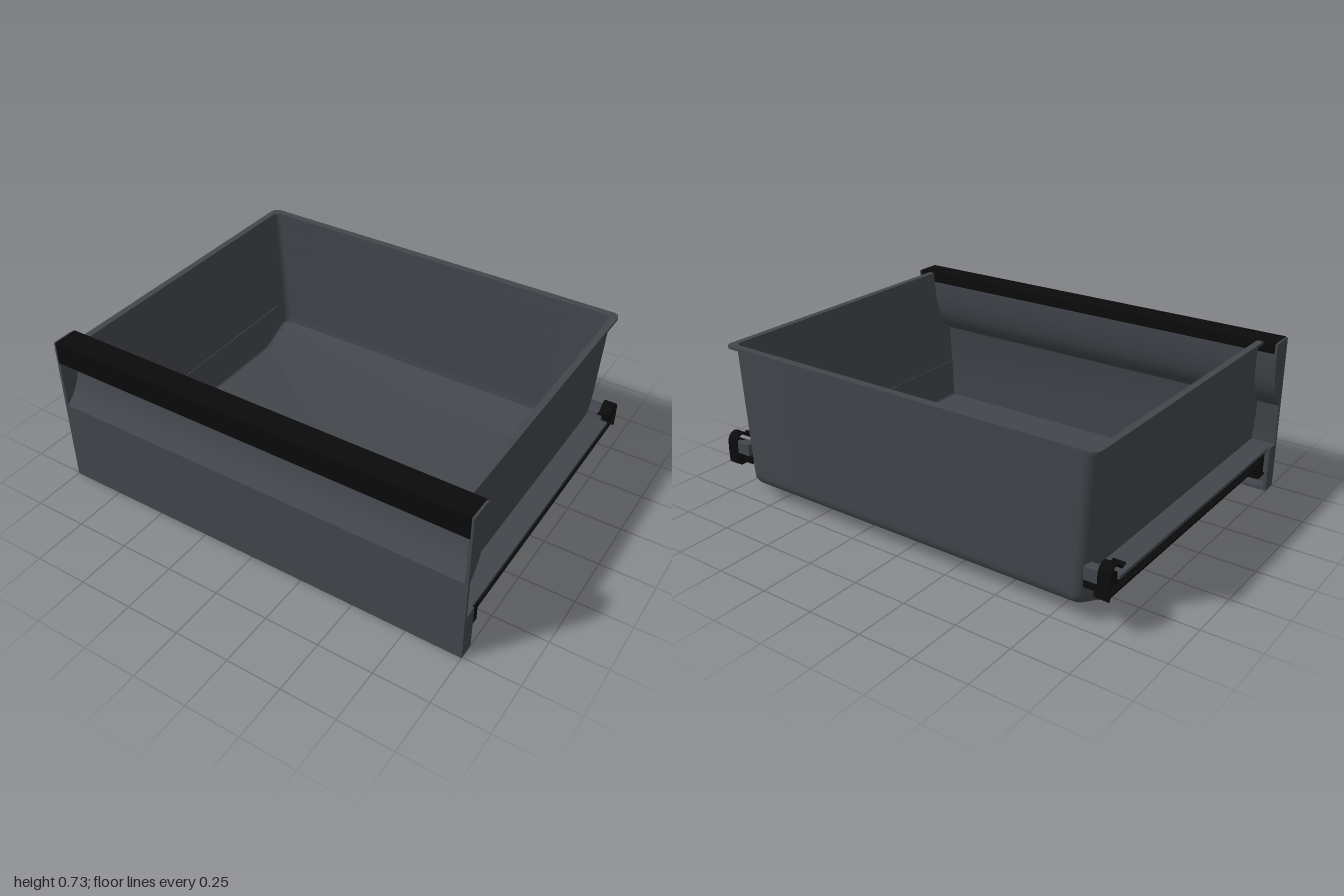
import * as THREE from 'three';
import { toCreasedNormals } from 'three/addons/utils/BufferGeometryUtils.js';

const shellMat = new THREE.MeshStandardMaterial({ color: 0x42464c, side: THREE.DoubleSide });
const blackMat = new THREE.MeshStandardMaterial({ color: 0x0b0b0b, side: THREE.DoubleSide });

const FRONT = 0.755, WALL = 0.015;

// Finger scoop, as [z, y] from the flat front up to the top edge
const scoop = new THREE.SplineCurve([
  [FRONT, 0.4], [0.712, 0.44], [0.678, 0.5], [0.658, 0.58], [0.65, 0.66], [0.65, 0.725],
].map(([z, y]) => new THREE.Vector2(z, y))).getPoints(20);

// Depth of the front panel's back face at height y
function panelBack(y) {
  if (y <= scoop[0].y) return FRONT - WALL;
  for (let i = 1; i < scoop.length; i++) {
    const a = scoop[i - 1], b = scoop[i];
    if (y <= b.y) {
      const z = THREE.MathUtils.mapLinear(y, a.y, b.y, a.x, b.x);
      return Math.min(z, FRONT) - WALL * 0.6;
    }
  }
  return 0.641;
}

function add(parent, name, geometry, material) {
  const mesh = new THREE.Mesh(geometry, material);
  mesh.name = name;
  parent.add(mesh);
  return mesh;
}

// Box given by its limits on each axis
function box(parent, name, material, [x0, x1], [y0, y1], [z0, z1]) {
  const g = new THREE.BoxGeometry(x1 - x0, y1 - y0, z1 - z0);
  g.translate((x0 + x1) / 2, (y0 + y1) / 2, (z0 + z1) / 2);
  return add(parent, name, g, material);
}

// Closed [z, y] outline extruded between two x positions
function sideProfile(parent, name, material, points, x0, x1) {
  const shape = new THREE.Shape(points.map((p) => (p.isVector2 ? p : new THREE.Vector2(...p))));
  const g = new THREE.ExtrudeGeometry(shape, { depth: x1 - x0, bevelEnabled: false });
  g.rotateY(-Math.PI / 2).translate(x1, 0, 0);
  return add(parent, name, toCreasedNormals(g, 0.5), material);
}

// U-shaped ring of the tub, open at the front, rounded at the rear corners
function tubRing([y, w, back, r]) {
  const pts = [[w, y, panelBack(y)]];
  const steps = 6;
  for (const s of [1, -1]) {
    for (let i = 0; i <= steps; i++) {
      const a = ((s > 0 ? i : steps - i) / steps) * Math.PI / 2;
      pts.push([s * (w - r + r * Math.cos(a)), y, back + r - r * Math.sin(a)]);
    }
  }
  pts.push([-w, y, panelBack(y)]);
  return pts;
}

// Rings between two heights, close enough to follow the scoop
function wallRings(from, to, n) {
  return Array.from({ length: n + 1 }, (_, i) => from.map((v, k) => v + (to[k] - v) * i / n));
}

function tubGeometry() {
  const rings = [
    [0.004, 0.862, -0.54, 0.05], [0.008, 0.872, -0.558, 0.05],
    [0.08, 0.879, -0.715, 0.05], [0.1, 0.88, -0.728, 0.05],
    ...wallRings([0.12, 0.881, -0.73, 0.05], [0.715, 0.914, -0.732, 0.05], 24),
    [0.715, 0.935, -0.755, 0.035], [0.727, 0.935, -0.755, 0.035], [0.727, 0.905, -0.72, 0.03],
    ...wallRings([0.715, 0.904, -0.72, 0.03], [0.12, 0.868, -0.716, 0.04], 24),
    [0.095, 0.867, -0.712, 0.04], [0.024, 0.864, -0.56, 0.04], [0.018, 0.858, -0.54, 0.04],
  ].map(tubRing);
  const n = rings[0].length, index = [];
  for (let i = 0; i < rings.length - 1; i++) {
    for (let j = 0; j < n - 1; j++) {
      const a = i * n + j, c = a + n;
      index.push(a, a + 1, c, a + 1, c + 1, c);
    }
  }
  // Underside and inner floor
  const last = (rings.length - 1) * n;
  for (let j = 1; j < n - 1; j++) {
    index.push(0, j + 1, j, last, last + j, last + j + 1);
  }
  const g = new THREE.BufferGeometry();
  g.setAttribute('position', new THREE.Float32BufferAttribute(rings.flat(2), 3));
  g.setIndex(index);
  return toCreasedNormals(g, 0.5);
}

// Ledge, rail, bracket and rear spring clip on the +x side
function buildSide() {
  const side = new THREE.Group();
  box(side, 'railLedge', shellMat, [0.87, 0.99], [0.2, 0.215], [-0.655, 0.7]);

  // Hollow lower corner behind the front panel
  box(side, 'cornerCheek', shellMat, [0.985, 1], [0, 0.215], [0.68, 0.75]);
  box(side, 'cornerFloor', shellMat, [0.86, 0.99], [0, 0.015], [0.68, 0.75]);
  box(side, 'cornerTop', shellMat, [0.87, 0.99], [0.2, 0.215], [0.68, 0.75]);

  // Channel rail
  const rail = new THREE.Group();
  rail.name = 'slideRail';
  box(rail, 'railWeb', blackMat, [0.93, 0.945], [0.147, 0.199], [-0.735, 0.66]);
  box(rail, 'railTopFlange', blackMat, [0.93, 0.985], [0.188, 0.199], [-0.735, 0.66]);
  box(rail, 'railBottomFlange', blackMat, [0.93, 0.985], [0.147, 0.157], [-0.735, 0.66]);
  box(rail, 'railMount', blackMat, [0.875, 0.935], [0.16, 0.19], [-0.72, 0.66]);
  side.add(rail);

  // Front bracket with gusset
  box(side, 'railBracket', blackMat, [0.89, 0.985], [0.09, 0.199], [0.615, 0.662]);
  box(side, 'bracketFoot', blackMat, [0.88, 0.985], [0.082, 0.092], [0.613, 0.68]);
  sideProfile(side, 'bracketGusset', blackMat,
    [[0.62, 0.105], [0.62, 0.15], [0.535, 0.15], [0.56, 0.13]], 0.935, 0.975);

  // Rear bump under the spring clip
  sideProfile(side, 'rearStop', shellMat,
    [[-0.655, 0.2], [-0.73, 0.2], [-0.73, 0.255], [-0.685, 0.255], [-0.668, 0.24]], 0.88, 0.955);

  // Spring clip: a bent ribbon
  const line = new THREE.SplineCurve([
    [-0.63, 0.262], [-0.655, 0.255], [-0.675, 0.275], [-0.7, 0.286],
    [-0.727, 0.273], [-0.737, 0.24], [-0.737, 0.15],
  ].map(([z, y]) => new THREE.Vector2(z, y)));
  const outer = [], inner = [];
  for (let i = 0; i <= 30; i++) {
    const p = line.getPoint(i / 30), t = line.getTangent(i / 30);
    const off = new THREE.Vector2(-t.y, t.x).multiplyScalar(0.004);
    outer.push(p.clone().add(off));
    inner.unshift(p.clone().sub(off));
  }
  sideProfile(side, 'springClip', blackMat, [...outer, ...inner], 0.945, 0.998);
  const roller = new THREE.CylinderGeometry(0.028, 0.028, 0.05, 20);
  roller.rotateZ(Math.PI / 2).translate(0.965, 0.228, -0.7);
  add(side, 'roller', toCreasedNormals(roller, 0.6), blackMat);
  return side;
}

export function createModel() {
  const model = new THREE.Group();
  model.name = 'drawer';
  add(model, 'tub', tubGeometry(), shellMat);

  // Front panel: flat below, scooped back above
  const back = scoop.map((p) => new THREE.Vector2(panelBack(p.y), p.y)).reverse();
  sideProfile(model, 'frontPanel', shellMat,
    [[FRONT, 0], ...scoop, ...back, [FRONT - WALL, 0]], -1, 1);

  // Handle cap: folded strip over the top edge
  sideProfile(model, 'handleCap', blackMat, [
    [FRONT, 0.625], [FRONT, 0.73], [0.64, 0.73], [0.64, 0.68],
    [0.648, 0.68], [0.648, 0.722], [0.745, 0.722], [0.745, 0.625],
  ], -0.99, 0.99);

  // End walls closing the scoop
  for (const x of [-1, 0.985]) {
    sideProfile(model, 'scoopEnd', shellMat,
      [...scoop, [0.65, 0.727], [FRONT - 0.001, 0.727]], x, x + WALL);
  }

  // Matching hardware on both sides
  const left = buildSide();
  left.name = 'leftSide';
  const right = buildSide();
  right.name = 'rightSide';
  right.scale.x = -1;
  model.add(left, right);
  return model;
}
